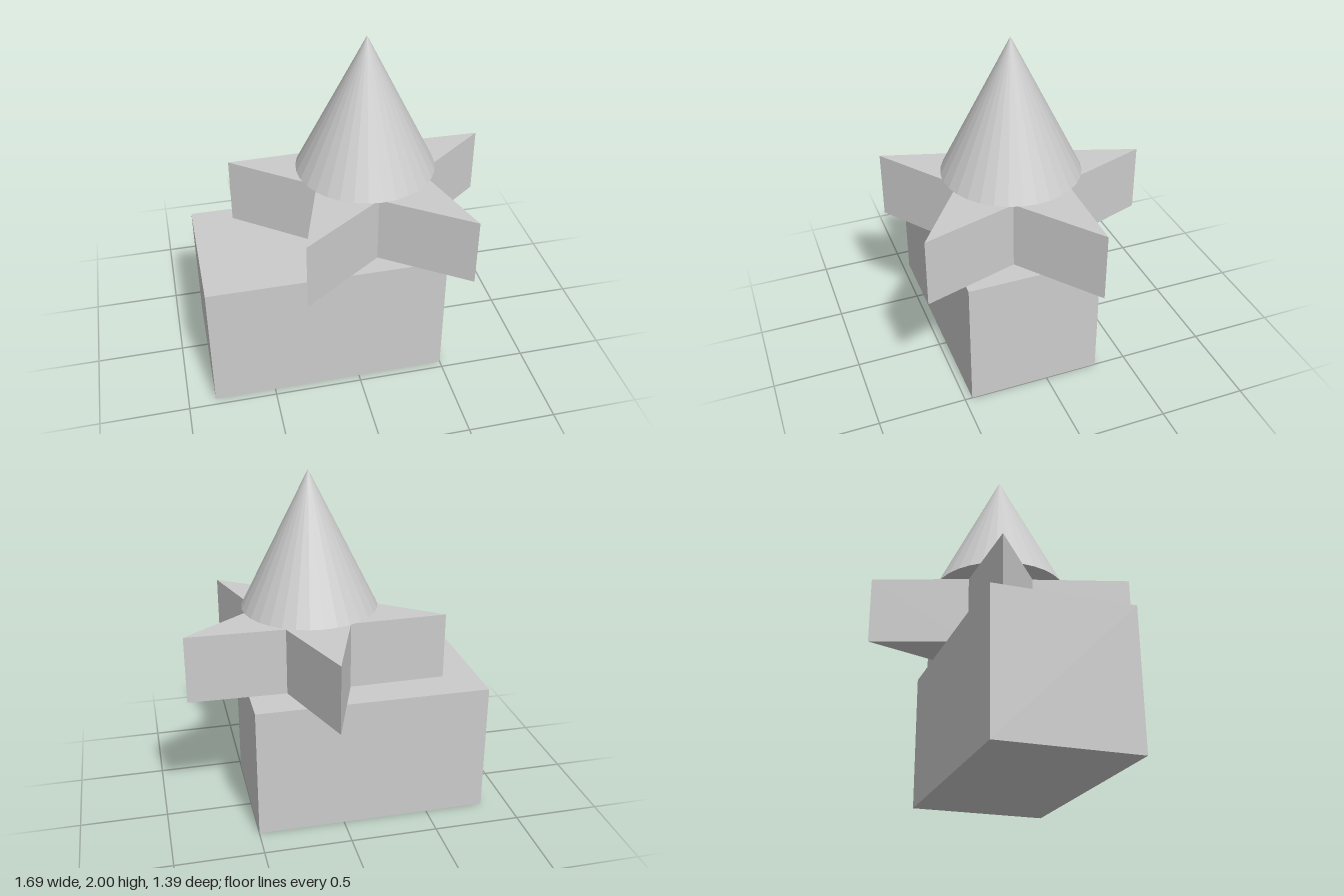
import * as THREE from 'three';

const UNIT = 2 / 2.6; // height of the block and of the cone
const GAP = 0.05 * UNIT; // space between stacked parts
const AXIS_X = 0.115, AXIS_Z = 0.073; // shared axis of star and cone

// Five-pointed outline with one tip at the top
function starShape(outer, inner, points = 5) {
  const corners = [];
  for (let i = 0; i < points * 2; i++) {
    const r = i % 2 ? inner : outer;
    const a = Math.PI / 2 + (i * Math.PI) / points;
    corners.push(new THREE.Vector2(r * Math.cos(a), r * Math.sin(a)));
  }
  return new THREE.Shape(corners);
}

export function createModel() {
  const model = new THREE.Group();
  const material = new THREE.MeshStandardMaterial({ color: 0xcccccc, flatShading: true });

  function addPart(name, geometry, x, y, z) {
    const mesh = new THREE.Mesh(geometry, material);
    mesh.name = name;
    mesh.position.set(x, y, z);
    model.add(mesh);
  }

  // Long block at the bottom, flush with the cone's edge on its left side
  const length = 1.75 * UNIT;
  addPart('baseBlock', new THREE.BoxGeometry(length, UNIT, UNIT),
    AXIS_X + UNIT / 2 - length / 2, UNIT / 2, AXIS_Z);

  // Thick star lying flat, one tip pointing to the back
  const star = new THREE.ExtrudeGeometry(starShape(UNIT, 0.4 * UNIT), {
    depth: UNIT / 2, bevelEnabled: false,
  });
  star.rotateX(-Math.PI / 2);
  addPart('starSlab', star, AXIS_X, UNIT + GAP, AXIS_Z);

  // Cone on top
  addPart('cone', new THREE.ConeGeometry(UNIT / 2, UNIT, 32), AXIS_X, 2 - UNIT / 2, AXIS_Z);

  return model;
}
